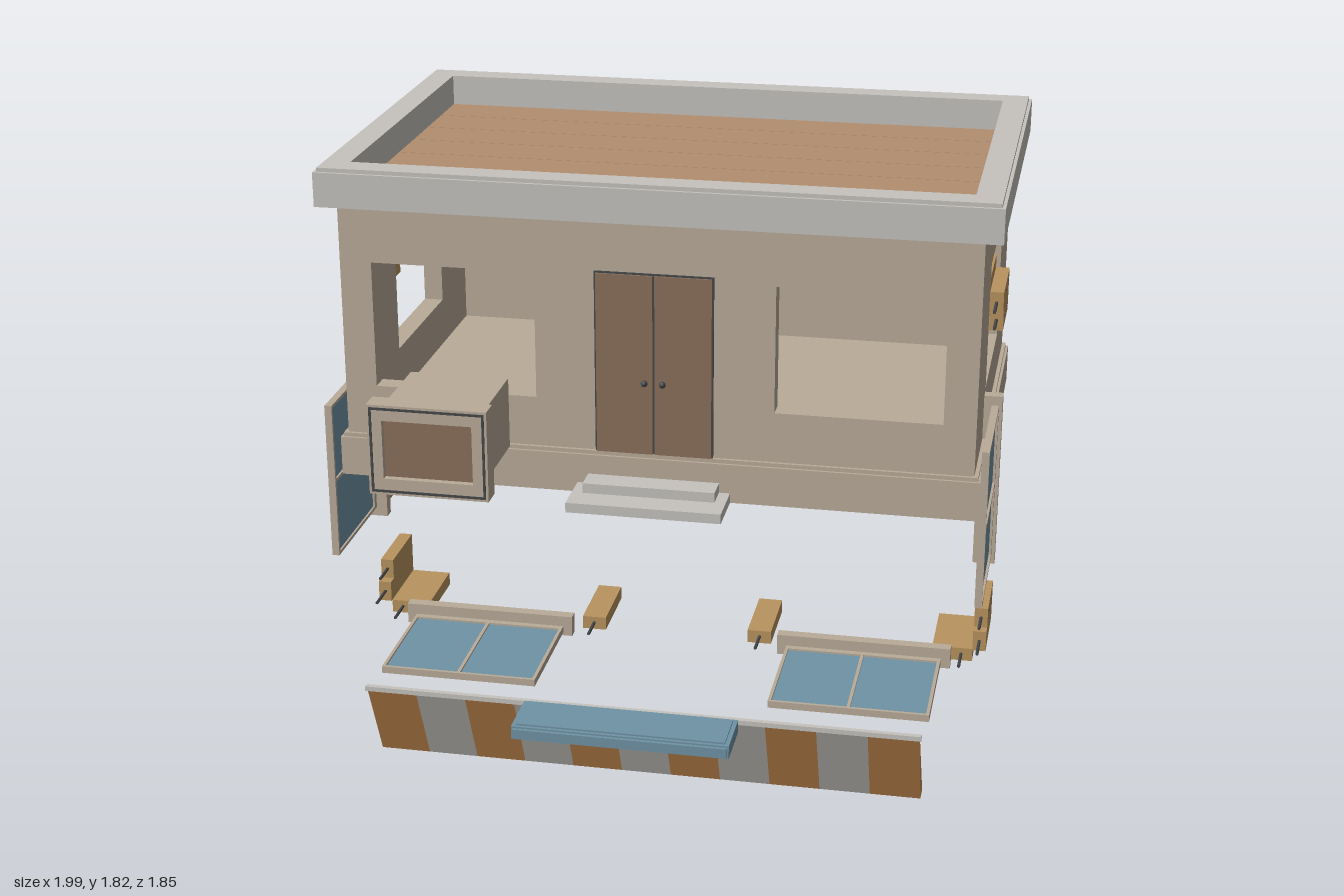
import * as THREE from 'three';

const mat = (name, color) => {
  const m = new THREE.MeshStandardMaterial({ color });
  m.name = name;
  return m;
};

export function createModel() {
  const wall = mat('wall beige', 0xb9ab99), stone = mat('pale stone', 0xc6c3be);
  const plank = mat('roof plank', 0xb38e70), door = mat('door brown', 0x8b705c);
  const wood = mat('bracket wood', 0xb9935f), orange = mat('awning orange', 0xc98c52);
  const glass = mat('window glass', 0x7093a6), dark = mat('dark metal', 0x45484a);

  const model = new THREE.Group();
  const add = (name, geo, material, parent = model) => {
    const m = new THREE.Mesh(geo, material);
    m.name = name;
    parent.add(m);
    return m;
  };
  // Box given by its limits on each axis
  const box = (name, material, [x0, x1], [y0, y1], [z0, z1], parent) => {
    const g = new THREE.BoxGeometry(Math.abs(x1 - x0), y1 - y0, z1 - z0);
    g.translate((x0 + x1) / 2, (y0 + y1) / 2, (z0 + z1) / 2);
    return add(name, g, material, parent);
  };
  const rect = (Type, x0, x1, y0, y1) => {
    const s = new Type();
    s.moveTo(x0, y0).lineTo(x1, y0).lineTo(x1, y1).lineTo(x0, y1).closePath();
    return s;
  };
  // Slab in the XY plane with rectangular holes, extruded along z
  const slab = (outer, holes, depth) => {
    const s = rect(THREE.Shape, ...outer);
    holes.forEach(h => s.holes.push(rect(THREE.Path, ...h)));
    return new THREE.ExtrudeGeometry(s, { depth, bevelEnabled: false });
  };
  const rod = (name, material, r, a, b, parent) => {
    const p = new THREE.Vector3(...a), q = new THREE.Vector3(...b);
    const m = add(name, new THREE.CylinderGeometry(r, r, p.distanceTo(q), 10), material, parent);
    m.position.copy(p).add(q).multiplyScalar(0.5);
    m.quaternion.setFromUnitVectors(new THREE.Vector3(0, 1, 0), q.sub(p).normalize());
    return m;
  };

  // Hollow house shell
  const zF = 0.3, zB = -0.873, t = 0.06;
  const front = slab([-0.94, 0.94, 0.985, 1.71],
    [[-0.845, -0.355, 1.145, 1.53], [0.355, 0.845, 1.145, 1.53]], t);
  front.translate(0, 0, zF - t);
  add('frontWall', front, wall);
  box('backWall', wall, [-0.94, 0.94], [0.985, 1.71], [zB, zB + t]);
  for (const s of [-1, 1]) {
    const g = slab([zB + t, zF - t, 0.985, 1.71], [[-0.535, -0.045, 1.14, 1.525]], t);
    g.rotateY(-Math.PI / 2);
    g.translate(s > 0 ? 0.94 : -0.94 + t, 0, 0);
    add('sideWall', g, wall);
  }
  box('plinth', wall, [-0.96, 0.96], [0.86, 0.98], [-0.89, 0.318]);
  box('plinthCap', wall, [-0.952, 0.952], [0.98, 0.992], [-0.884, 0.31]);
  box('ceiling', wall, [-0.94, 0.94], [1.7, 1.712], [zB, zF]);

  // Parapet ring with a stepped top edge
  const parapet = (inset, y, h) => {
    const g = slab([-0.993 + inset, 0.993 - inset, -0.35 + inset, 0.923 - inset],
      [[-0.905, 0.905, -0.26, 0.835]], h);
    g.rotateX(-Math.PI / 2);
    g.translate(0, y, 0);
    add('parapet', g, stone);
  };
  parapet(0, 1.705, 0.103);
  parapet(0.01, 1.808, 0.012);

  // Roof boards
  for (let i = 0; i < 7; i++) {
    const w = 1.095 / 7, z = -0.835 + i * w;
    box('roofBoard', plank, [-0.905, 0.905], [1.712, 1.725], [z, z + w - 0.003]);
  }

  // Double door and steps
  box('doorFrame', dark, [-0.176, 0.176], [0.992, 1.547], [zF, zF + 0.005]);
  for (const s of [-1, 1]) {
    box('doorLeaf', door, [s * 0.003, s * 0.171], [0.992, 1.542], [zF, zF + 0.011]);
    const k = add('doorKnob', new THREE.SphereGeometry(0.01, 12, 8), dark);
    k.position.set(s * 0.027, 1.215, zF + 0.016);
  }
  box('lowerStep', stone, [-0.23, 0.23], [0.86, 0.89], [0.3, 0.478]);
  box('upperStep', stone, [-0.197, 0.197], [0.89, 0.92], [0.3, 0.395]);

  // Projecting display box, open at the back
  const bay = new THREE.Group();
  bay.name = 'displayBox';
  model.add(bay);
  const sleeve = slab([-0.65, -0.365, 1.097, 1.303], [[-0.63, -0.385, 1.115, 1.285]], 0.28);
  sleeve.translate(0, 0, 0.577);
  add('boxSleeve', sleeve, wall, bay);
  const rim = slab([-0.675, -0.337, 1.068, 1.33], [[-0.633, -0.38, 1.115, 1.285]], 0.062);
  rim.translate(0, 0, 0.857);
  add('boxRim', rim, wall, bay);
  const line = slab([-0.668, -0.344, 1.075, 1.323], [[-0.661, -0.351, 1.082, 1.316]], 0.002);
  line.translate(0, 0, 0.919);
  add('boxRimLine', line, dark, bay);
  box('boxPanel', door, [-0.633, -0.38], [1.115, 1.285], [0.88, 0.9], bay);

  // Window unit: casing on the local x axis, glazed sash along local y
  const windowUnit = (name, right, out, pos) => {
    const u = new THREE.Group();
    u.name = name;
    box('casing', wall, [-0.272, 0.272], [-0.035, 0], [-0.033, 0.033], u);
    const sash = slab([-0.243, 0.243, 0, 0.38],
      [[-0.233, -0.005, 0.02, 0.37], [0.005, 0.233, 0.02, 0.37]], 0.022);
    sash.translate(0, 0, 0.001);
    add('sash', sash, wall, u);
    for (const s of [-1, 1])
      box('pane', glass, [s * 0.005, s * 0.233], [0.02, 0.37], [0.007, 0.016], u);
    u.applyMatrix4(new THREE.Matrix4().makeBasis(
      new THREE.Vector3(...right), new THREE.Vector3(0, 0, 1), new THREE.Vector3(...out)));
    u.position.set(...pos);
    model.add(u);
  };
  for (const s of [-1, 1]) {
    windowUnit('frontWindow', [1, 0, 0], [0, -1, 0], [s * 0.603, 0.25, 0]);
    windowUnit('sideWindow', [0, s, 0], [s, 0, 0], [s * 0.962, 0.858, 0]);
  }

  // Wooden corner brackets: two stacked blocks, a cross board and pins
  const bracket = (s, y, d) => {
    const g = new THREE.Group();
    g.name = 'cornerBracket';
    model.add(g);
    const span = (a, b) => [Math.min(y + d * a, y + d * b), Math.max(y + d * a, y + d * b)];
    box('crossBoard', wood, [s * 0.815, s * 0.94], span(0, 0.042), [-0.28, -0.043], g);
    box('innerBlock', wood, [s * 0.94, s * 0.981], span(0.042, 0.108), [-0.28, -0.035], g);
    box('outerBlock', wood, [s * 0.94, s * 0.981], span(0.108, 0.172), [-0.28, -0.068], g);
    [[0.905, 0.022, 0.045], [0.96, 0.075, 0.055], [0.96, 0.14, 0.01]].forEach(([x, h, z], i) => {
      if (d < 0 && i === 0) return;
      rod('pin', dark, 0.005, [s * x, y + d * h, -0.08], [s * x, y + d * h, z], g);
    });
    for (const h of [0.06, 0.14]) for (const z of [-0.13, -0.22])
      rod('screw', dark, 0.004, [s * 0.975, y + d * h, z], [s * 0.983, y + d * h, z], g);
  };
  for (const s of [-1, 1]) {
    bracket(s, 0.228, 1);
    bracket(s, 1.485, -1);
    box('smallBlock', wood, [s * 0.23, s * 0.305], [0.228, 0.27], [-0.28, -0.043]);
    rod('blockPin', dark, 0.005, [s * 0.268, 0.25, -0.05], [s * 0.268, 0.25, 0.04]);
  }
  box('sideBlock', wood, [-0.99, -0.947], [0.607, 0.68], [-0.28, -0.062]);
  rod('sideBlockPin', dark, 0.005, [-0.968, 0.645, -0.07], [-0.968, 0.645, -0.034]);

  // Striped wedge awning with its rail
  const w = 1.67 / 11;
  for (let i = 0; i < 11; i++) {
    const s = new THREE.Shape();
    s.moveTo(0.385, 0).lineTo(0.44, 0).lineTo(0.558, 0.262).lineTo(0.55, 0.262).closePath();
    const g = new THREE.ExtrudeGeometry(s, { depth: w, bevelEnabled: false });
    g.rotateY(-Math.PI / 2);
    g.translate(-0.835 + (i + 1) * w, 0, 0);
    add('awningStripe', g, i % 2 ? stone : orange);
  }
  box('awningRail', stone, [-0.84, 0.84], [0.26, 0.275], [0.55, 0.566]);

  // Blue sign board with hanging tabs
  box('signBoard', glass, [-0.318, 0.318], [0.29, 0.33], [0.665, 0.825]);
  box('signCore', glass, [-0.305, 0.305], [0.285, 0.335], [0.675, 0.815]);
  box('signEdge', glass, [-0.312, 0.312], [0.295, 0.325], [0.655, 0.835]);
  for (const s of [-1, 1])
    box('signTab', glass, [s * 0.2, s * 0.222], [0.3, 0.32], [0.645, 0.66]);

  // Service pipe and meter cabinet on the back wall
  rod('drainPipe', wall, 0.011, [-0.585, 0.925, -0.897], [-0.585, 1.7, -0.897]);
  for (const y of [1.0, 1.13, 1.435, 1.62])
    box('pipeClip', wall, [-0.6, -0.57], [y - 0.007, y + 0.007], [-0.91, -0.873]);
  box('meterCabinet', wall, [-0.505, -0.375], [1.21, 1.39], [-0.918, -0.873]);
  box('cabinetLatch', dark, [-0.455, -0.438], [1.235, 1.25], [-0.925, -0.918]);
  return model;
}
